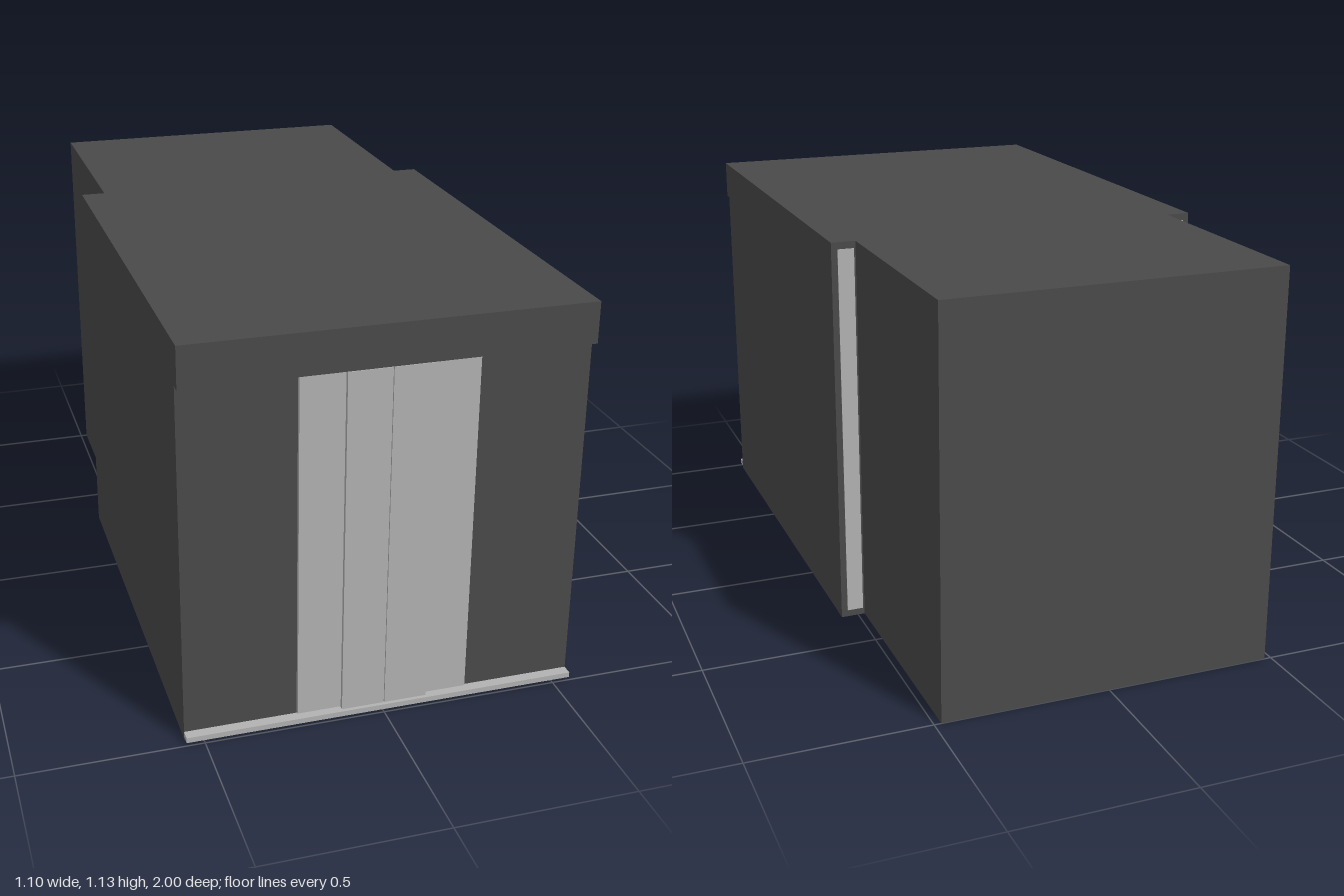
import * as THREE from 'three';

export function createModel() {
  const group = new THREE.Group();
  const darkPanel = new THREE.MeshStandardMaterial({ color: 0x4a4a4a });
  const brushedMetal = new THREE.MeshStandardMaterial({ color: 0xb2b2b2 });

  // Box given by its extents on each axis
  function box(name, material, [x0, x1], [y0, y1], [z0, z1]) {
    const mesh = new THREE.Mesh(new THREE.BoxGeometry(x1 - x0, y1 - y0, z1 - z0), material);
    mesh.name = name;
    mesh.position.set((x0 + x1) / 2, (y0 + y1) / 2, (z0 + z1) / 2);
    group.add(mesh);
  }

  // Stepped cabin body, extruded upward from its plan outline
  const plan = new THREE.Shape([
    [-0.55, -0.97], [0.55, -0.97], [0.55, 0.33], [0.48, 0.33],
    [0.48, 1], [-0.48, 1], [-0.48, 0.33], [-0.55, 0.33],
  ].map(([x, y]) => new THREE.Vector2(x, y)));
  const bodyGeometry = new THREE.ExtrudeGeometry(plan, { depth: 1.13, bevelEnabled: false });
  bodyGeometry.rotateX(-Math.PI / 2);
  const body = new THREE.Mesh(bodyGeometry, darkPanel);
  body.name = 'cabinBody';
  group.add(body);

  // Overhanging header and door sill
  box('header', darkPanel, [-0.55, 0.55], [1.015, 1.13], [0.97, 1]);
  box('sill', brushedMetal, [-0.55, 0.55], [0.009, 0.024], [0.97, 1]);

  for (const side of [-1, 1]) {
    const span = (a, b) => (side > 0 ? [a, b] : [-b, -a]);
    // Telescoping door leaves, inner ones in front
    box('outerDoorLeaf', brushedMetal, span(0.11, 0.24), [0.029, 1.012], [0.97, 0.982]);
    box('innerDoorLeaf', brushedMetal, span(0.001, 0.12), [0.029, 1.012], [0.984, 0.996]);
    // Light strip on the rear-facing shoulder
    box('shoulderStrip', brushedMetal, span(0.485, 0.532), [0.02, 1.11], [-0.332, -0.328]);
  }
  return group;
}
